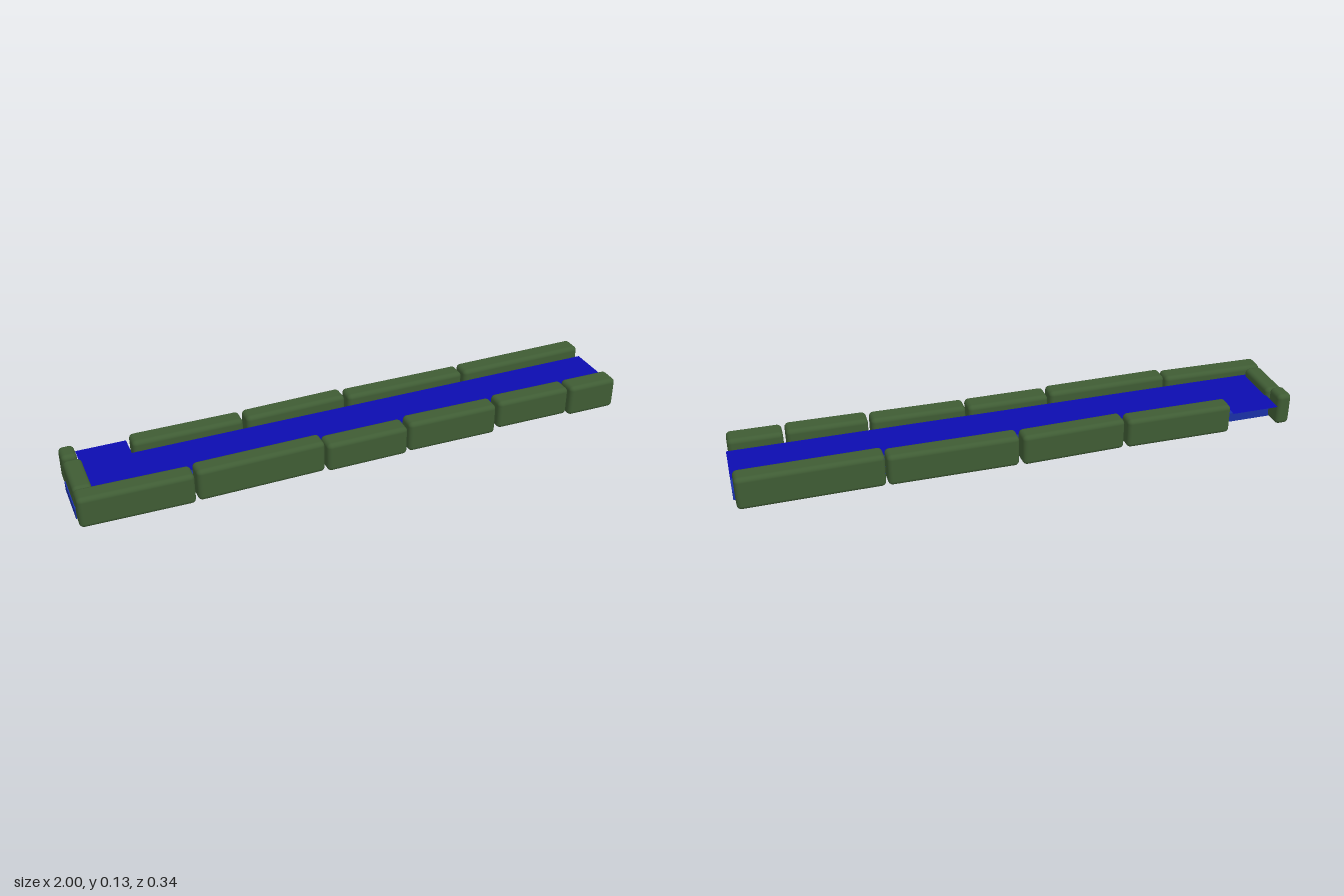
import * as THREE from 'three';
import { RoundedBoxGeometry } from 'three/addons/geometries/RoundedBoxGeometry.js';

export function createModel() {
  const group = new THREE.Group();
  const stoneMat = new THREE.MeshStandardMaterial({ color: 0x3f5c34 });
  const floorMat = new THREE.MeshStandardMaterial({ color: 0x1a30a8 });
  const waterMat = new THREE.MeshStandardMaterial({ color: 0x0c0cb0, side: THREE.DoubleSide });

  function add(name, geometry, material, x, y, z) {
    const mesh = new THREE.Mesh(geometry, material);
    mesh.name = name;
    mesh.position.set(x, y, z);
    group.add(mesh);
    return mesh;
  }

  // Rounded stone given by its extents and a slight turn
  function stone(name, [x0, x1, y0, y1, z0, z1, yaw]) {
    const geo = new RoundedBoxGeometry(x1 - x0, y1 - y0, z1 - z0, 3, 0.016);
    add(name, geo, stoneMat, (x0 + x1) / 2, (y0 + y1) / 2, (z0 + z1) / 2).rotation.y = yaw;
  }

  // Channel floor slab, running the full length
  add('channelFloor', new THREE.BoxGeometry(2, 0.035, 0.176), floorMat, 0, 0.0175, 0.001);

  // Thin water sheet with the side inlet at the closed end (shape y is -z)
  const outline = [
    [-0.94, -0.087], [1, -0.087], [1, 0.09], [-0.765, 0.09], [-0.765, 0.175], [-0.94, 0.175],
  ].map(([x, y]) => new THREE.Vector2(x, y));
  const sheet = new THREE.ShapeGeometry(new THREE.Shape(outline)).rotateX(-Math.PI / 2);
  add('waterSurface', sheet, waterMat, 0, 0.087, 0);

  // Front kerb: x start, x end, bottom, top, z start, z end, yaw
  [
    [-0.999, -0.615, 0.005, 0.118, 0.09, 0.163, -0.02],
    [-0.608, -0.158, 0.008, 0.126, 0.092, 0.163, 0.01],
    [-0.152, 0.147, 0.008, 0.116, 0.092, 0.17, 0],
    [0.157, 0.497, 0.006, 0.121, 0.09, 0.163, -0.015],
    [0.508, 0.793, 0.018, 0.126, 0.091, 0.165, -0.015],
    [0.803, 0.993, 0.006, 0.123, 0.09, 0.168, -0.01],
  ].forEach((spec, i) => stone(`frontStone${i + 1}`, spec));

  // Back kerb, with a gap for the inlet
  [
    [-0.998, -0.945, 0.006, 0.125, -0.167, -0.092, 0],
    [-0.757, -0.363, 0.008, 0.118, -0.17, -0.099, -0.005],
    [-0.352, 0.023, 0.008, 0.122, -0.17, -0.1, 0.025],
    [0.033, 0.492, 0.006, 0.121, -0.166, -0.096, -0.005],
    [0.498, 0.993, 0.006, 0.126, -0.165, -0.092, 0.01],
  ].forEach((spec, i) => stone(`backStone${i + 1}`, spec));

  // Stone closing the end, resting on the floor slab
  stone('endStone', [-0.998, -0.935, 0.03, 0.116, -0.091, 0.088, 0]);

  return group;
}
